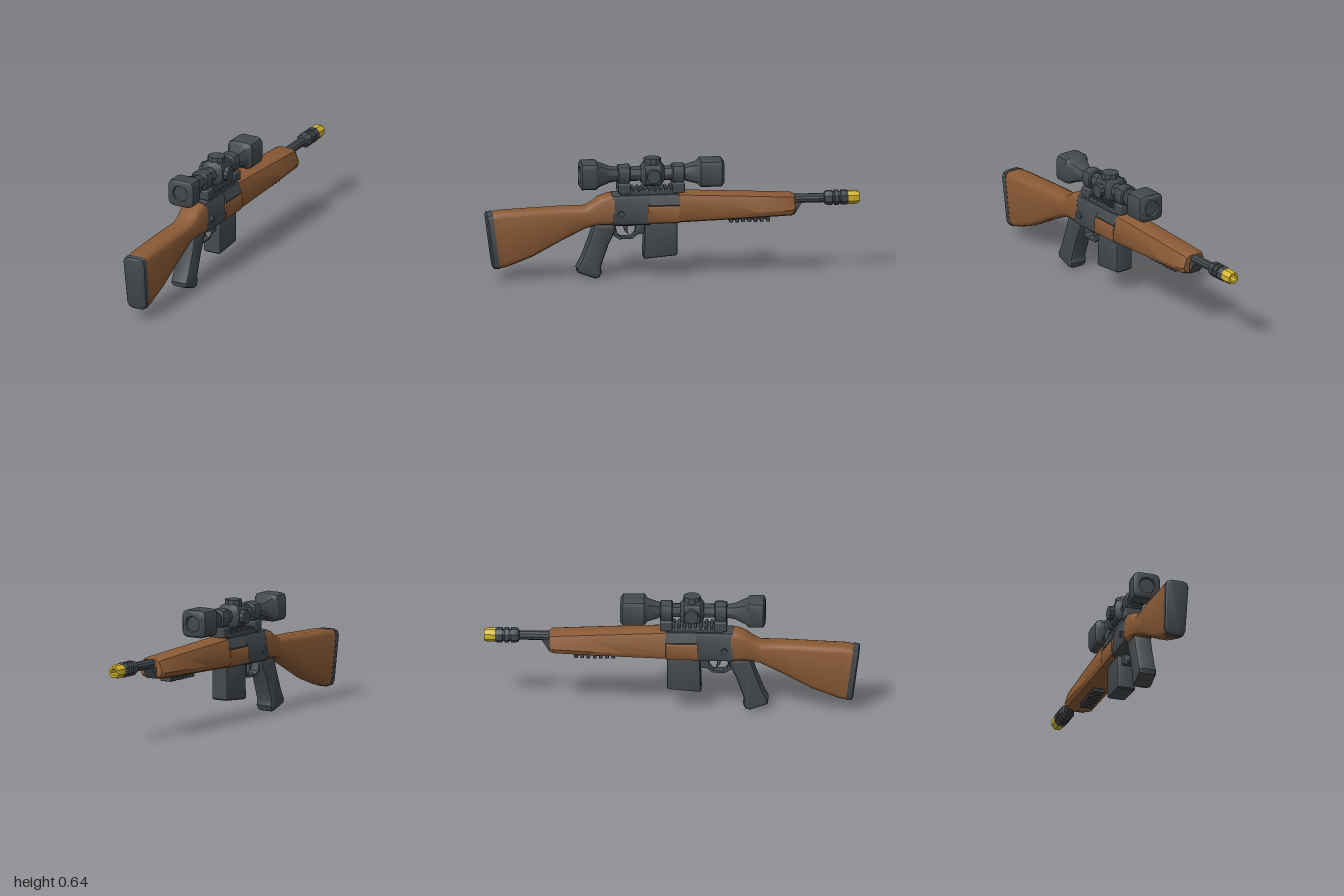
import * as THREE from 'three';
import { toCreasedNormals } from 'three/addons/utils/BufferGeometryUtils.js';
import { RoundedBoxGeometry } from 'three/addons/geometries/RoundedBoxGeometry.js';

const wood = new THREE.MeshStandardMaterial({ color: 0x8a5a35 });
wood.name = 'brown wood';
const metal = new THREE.MeshStandardMaterial({ color: 0x44494d });
metal.name = 'dark grey metal';
const brass = new THREE.MeshStandardMaterial({ color: 0xd4b52a });
brass.name = 'yellow tip';

// Rounded cross-section: bottom and top half-widths, bottom and top heights, corner size
function section(z, yb, yt, wb, wt = wb, c = 0.03) {
  const corners = [[wb, yb, 1, -1], [wt, yt, 1, 1], [-wt, yt, -1, 1], [-wb, yb, -1, -1]];
  const ring = [];
  corners.forEach(([x, y, sx, sy], k) => {
    for (let i = 0; i < 3; i++) {
      const a = (k - 1 + i / 2) * Math.PI / 2;
      ring.push([x - sx * c + Math.cos(a) * c, y - sy * c + Math.sin(a) * c, z]);
    }
  });
  return ring;
}

// Skin over sections ordered from +z to -z, with end caps
function loft(rings, crease = 0.6) {
  const n = rings[0].length, index = [];
  for (let r = 0; r < rings.length - 1; r++) {
    for (let i = 0; i < n; i++) {
      const a = r * n + i, b = r * n + (i + 1) % n;
      index.push(a, a + n, b, b, a + n, b + n);
    }
  }
  const e = (rings.length - 1) * n;
  for (let i = 1; i < n - 1; i++) index.push(0, i, i + 1, e, e + i + 1, e + i);
  const g = new THREE.BufferGeometry();
  g.setAttribute('position', new THREE.Float32BufferAttribute(rings.flat(2), 3));
  g.setIndex(index);
  return toCreasedNormals(g, crease);
}

// Side profile given as [z, y], extruded across x with bevelled edges
function profile(points, width, bevel, hole) {
  const v = list => list.map(([z, y]) => new THREE.Vector2(-z, y));
  const shape = new THREE.Shape(v(points));
  if (hole) shape.holes.push(new THREE.Path(v(hole)));
  const g = new THREE.ExtrudeGeometry(shape, {
    depth: width - 2 * bevel, bevelEnabled: bevel > 0, bevelSize: bevel,
    bevelThickness: bevel, bevelOffset: -bevel, bevelSegments: 2
  });
  g.translate(0, 0, -(width - 2 * bevel) / 2).rotateY(Math.PI / 2);
  return toCreasedNormals(g, 0.6);
}

// Round part running toward -z, from [radius, distance] points
function turned(points, sides, y) {
  const g = new THREE.LatheGeometry(points.map(p => new THREE.Vector2(...p)), sides, Math.PI / sides);
  return toCreasedNormals(g.rotateX(-Math.PI / 2).translate(0, y, 0), 0.6);
}

export function createModel() {
  const model = new THREE.Group();
  const add = (name, geometry, material, x = 0, y = 0, z = 0) => {
    const mesh = new THREE.Mesh(geometry, material);
    mesh.name = name;
    mesh.position.set(x, y, z);
    model.add(mesh);
    return mesh;
  };
  const box = (name, w, h, d, y, z, r = 0.008) =>
    add(name, new RoundedBoxGeometry(w, h, d, 2, r), metal, 0, y, z);

  // Shoulder stock, leaning its rear end to meet the pad
  const lean = (ring, k) => ring.map(([x, y, z]) => [x, y, z + (y - 0.21) * k]);
  add('stock', loft([
    lean(section(0.945, 0.068, 0.368, 0.057, 0.062), 0.13),
    lean(section(0.90, 0.075, 0.375, 0.057, 0.062), 0.1),
    section(0.75, 0.127, 0.382, 0.056, 0.062),
    section(0.60, 0.208, 0.388, 0.056, 0.062),
    section(0.47, 0.272, 0.390, 0.056, 0.06),
    section(0.43, 0.285, 0.41, 0.06, 0.06),
    section(0.39, 0.292, 0.44, 0.066, 0.062),
    section(0.35, 0.292, 0.453, 0.072, 0.065),
    section(0.315, 0.292, 0.456, 0.074, 0.065)
  ], 0.8), wood);
  add('buttPad', loft([
    lean(section(0.98, 0.075, 0.358, 0.05, 0.055), 0.13),
    lean(section(0.973, 0.065, 0.367, 0.057, 0.063), 0.13),
    lean(section(0.944, 0.064, 0.371, 0.058, 0.064), 0.13)
  ]), metal);

  // Receiver, full height at the rear and upper half only above the forestock
  add('receiver', loft([
    section(0.325, 0.29, 0.458, 0.076, 0.062, 0.025),
    section(0.12, 0.29, 0.458, 0.076, 0.062, 0.025)
  ]), metal);
  add('upperReceiver', loft([
    section(0.13, 0.38, 0.458, 0.076, 0.062, 0.02),
    section(-0.035, 0.38, 0.458, 0.076, 0.062, 0.02)
  ]), metal);
  const pin = new THREE.CylinderGeometry(0.018, 0.018, 0.164, 8).rotateZ(Math.PI / 2);
  add('receiverPin', pin, metal, 0, 0.355, 0.28);

  // Forestock with a step behind the upper receiver
  add('forestock', loft([
    section(0.137, 0.298, 0.40, 0.079, 0.08, 0.02),
    section(-0.03, 0.298, 0.40, 0.079, 0.08, 0.02),
    section(-0.032, 0.298, 0.46, 0.082, 0.068, 0.035),
    section(-0.25, 0.305, 0.45, 0.082, 0.068, 0.035),
    section(-0.45, 0.312, 0.441, 0.081, 0.068, 0.035),
    section(-0.635, 0.32, 0.432, 0.08, 0.068, 0.035),
    section(-0.652, 0.33, 0.424, 0.07, 0.06, 0.033)
  ]), wood);

  // Rail with slats under the forestock
  box('lowerRail', 0.06, 0.02, 0.22, 0.308, -0.41);
  for (let i = 0; i < 7; i++) box('lowerRailSlat', 0.07, 0.022, 0.019, 0.297, -0.312 - i * 0.033, 0.004);

  // Pistol grip, trigger guard, trigger and magazine
  add('grip', profile([[0.42, 0.30], [0.445, 0.22], [0.485, 0.115], [0.513, 0.06], [0.508, 0.034],
    [0.415, 0], [0.392, 0.006], [0.378, 0.035], [0.385, 0.06], [0.345, 0.18], [0.31, 0.25], [0.30, 0.30]],
  0.104, 0.022), metal);
  add('triggerGuard', profile([[0.33, 0.295], [0.31, 0.225], [0.285, 0.208], [0.215, 0.208], [0.188, 0.232],
    [0.15, 0.238], [0.15, 0.295]], 0.05, 0.004,
  [[0.305, 0.28], [0.293, 0.235], [0.277, 0.222], [0.222, 0.222], [0.2, 0.245], [0.195, 0.28]]), metal);
  add('trigger', profile([[0.268, 0.295], [0.255, 0.25], [0.232, 0.23], [0.24, 0.255], [0.24, 0.295]],
    0.02, 0.003), metal);
  add('magazine', profile([[0.15, 0.30], [0.157, 0.11], [0.148, 0.103], [-0.018, 0.117], [-0.026, 0.125],
    [-0.026, 0.30]], 0.104, 0.014), metal);

  // Barrel, slotted muzzle brake, hollow tip and front lug
  add('barrel', turned([[0.025, 0.63], [0.025, 0.83]], 10, 0.402), metal);
  const brake = [[0.022, 0.81], [0.034, 0.815], [0.041, 0.83]];
  for (const d of [0.855, 0.89]) brake.push([0.041, d], [0.033, d + 0.002], [0.033, d + 0.01], [0.041, d + 0.012]);
  brake.push([0.041, 0.93], [0.035, 0.942], [0.0, 0.942]);
  add('muzzleBrake', turned(brake, 8, 0.402), metal);
  add('muzzleTip', turned([[0.037, 0.94], [0.038, 0.98], [0.032, 1.0], [0.02, 1.0], [0.016, 0.945],
    [0, 0.945]], 8, 0.402), brass);
  add('frontLug', profile([[-0.64, 0.385], [-0.64, 0.322], [-0.652, 0.322], [-0.69, 0.385]], 0.07, 0.004), metal);

  // Top rail with teeth
  box('topRail', 0.1, 0.03, 0.31, 0.465, 0.125);
  for (let i = 0; i < 11; i++) box('topRailTooth', 0.108, 0.014, 0.015, 0.481, 0.27 - i * 0.029, 0.003);

  // Scope body: [z, radius, corner share] from eyepiece to front lens
  const stations = [[0.485, 0.041, 0.9], [0.497, 0.045, 0.9], [0.497, 0.06, 0.5], [0.487, 0.074, 0.4],
    [0.41, 0.074, 0.4], [0.395, 0.063, 0.5], [0.335, 0.045, 0.9], [0.30, 0.04, 1], [-0.06, 0.04, 1],
    [-0.075, 0.046, 0.9], [-0.13, 0.057, 0.6], [-0.148, 0.073, 0.4], [-0.26, 0.073, 0.4],
    [-0.274, 0.06, 0.5], [-0.274, 0.045, 0.9], [-0.262, 0.041, 0.9]];
  const disc = ([z, r, c]) => section(z, 0.56 - r, 0.56 + r, r, r, r * c);
  add('scope', loft(stations.map(disc), 0.7), metal);

  // Scope mounts clamped to the rail
  for (const z of [0.26, -0.03]) {
    add('scopeRing', loft([[z + 0.034, 0.045, 0.8], [z + 0.028, 0.051, 0.7], [z - 0.028, 0.051, 0.7],
      [z - 0.034, 0.045, 0.8]].map(disc)), metal);
    box('scopeFoot', 0.108, 0.055, 0.066, 0.487, z);
    box('scopePost', 0.07, 0.07, 0.055, 0.52, z);
  }

  // Adjustment turrets on a central block
  add('turretBlock', loft([[0.17, 0.045, 0.8], [0.15, 0.064, 0.6], [0.065, 0.064, 0.6],
    [0.045, 0.045, 0.8]].map(disc), 0.7), metal);
  const knob = (r, h) => new THREE.CylinderGeometry(r * 0.92, r, h, 10);
  add('topTurret', toCreasedNormals(knob(0.05, 0.04), 0.6), metal, 0, 0.625, 0.106);
  for (const s of [1, -1]) {
    const g = toCreasedNormals(knob(0.04, 0.04).rotateZ(-s * Math.PI / 2), 0.6);
    add(s > 0 ? 'leftTurret' : 'rightTurret', g, metal, s * 0.067, 0.557, 0.106);
  }
  return model;
}
